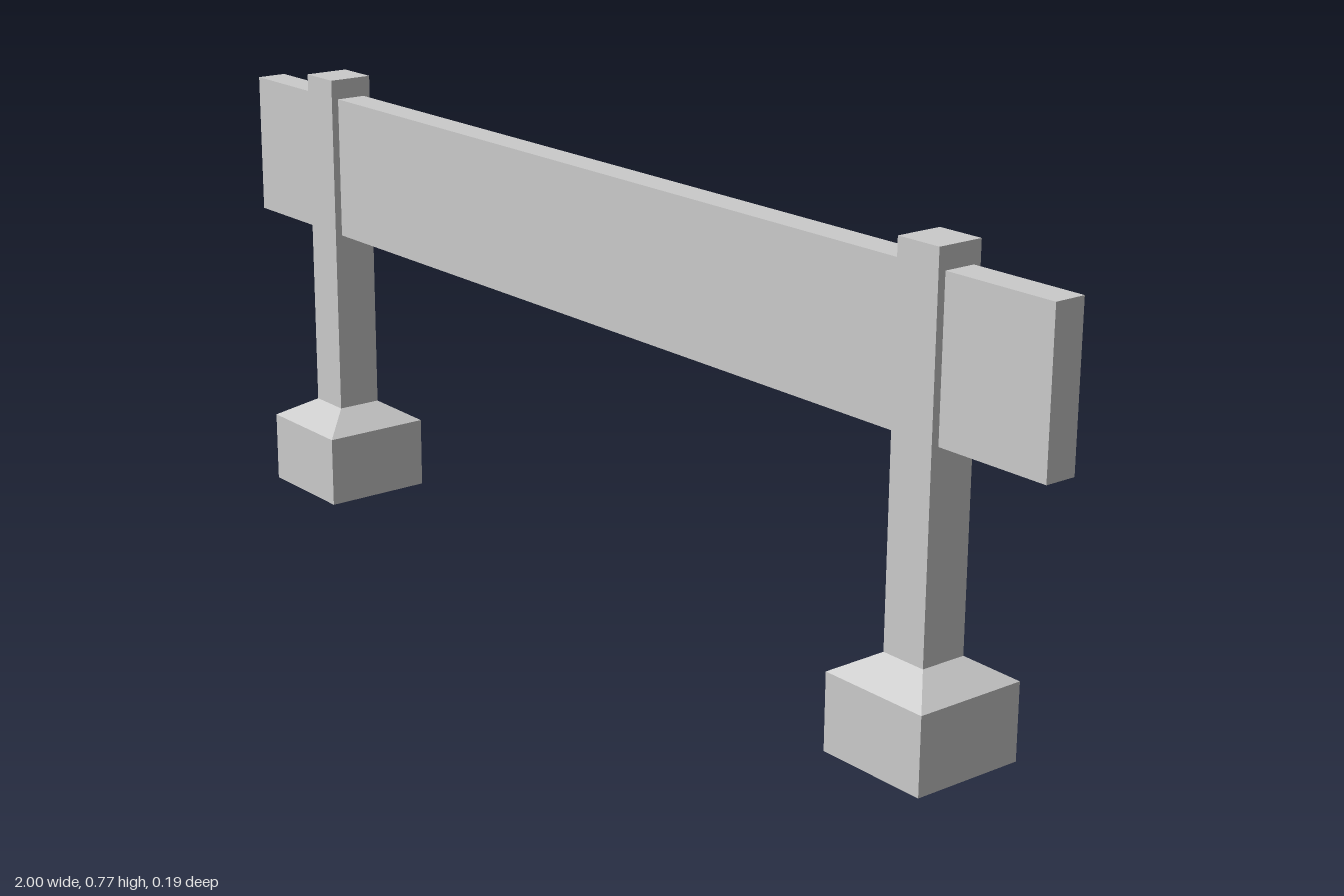
import * as THREE from 'three';

const material = new THREE.MeshStandardMaterial({ color: 0xcccccc, flatShading: true });

function box(name, w, h, d, bottom) {
  const mesh = new THREE.Mesh(new THREE.BoxGeometry(w, h, d).translate(0, bottom + h / 2, 0), material);
  mesh.name = name;
  return mesh;
}

// Square block whose upper section slopes in to the post
function footing() {
  const width = 0.195, topWidth = 0.08, shoulder = 0.125, height = 0.16;
  const geometry = new THREE.BoxGeometry(width, 2, width, 1, 2, 1);
  const p = geometry.attributes.position;
  for (let i = 0; i < p.count; i++) {
    const row = Math.round(p.getY(i)) + 1; // 0 bottom, 1 shoulder, 2 top
    const s = row === 2 ? topWidth / width : 1;
    p.setXYZ(i, p.getX(i) * s, [0, shoulder, height][row], p.getZ(i) * s);
  }
  geometry.computeVertexNormals();
  const mesh = new THREE.Mesh(geometry, material);
  mesh.name = 'footing';
  return mesh;
}

export function createModel() {
  const model = new THREE.Group();
  model.name = 'barrier';

  // Long plank passing through both posts
  model.add(box('plank', 2, 0.25, 0.054, 0.487));

  // Posts on their footings
  for (const [name, x] of [['rightSupport', -0.765], ['leftSupport', 0.76]]) {
    const support = new THREE.Group();
    support.name = name;
    support.position.x = x;
    support.add(footing(), box('post', 0.08, 0.612, 0.08, 0.16));
    model.add(support);
  }
  return model;
}
